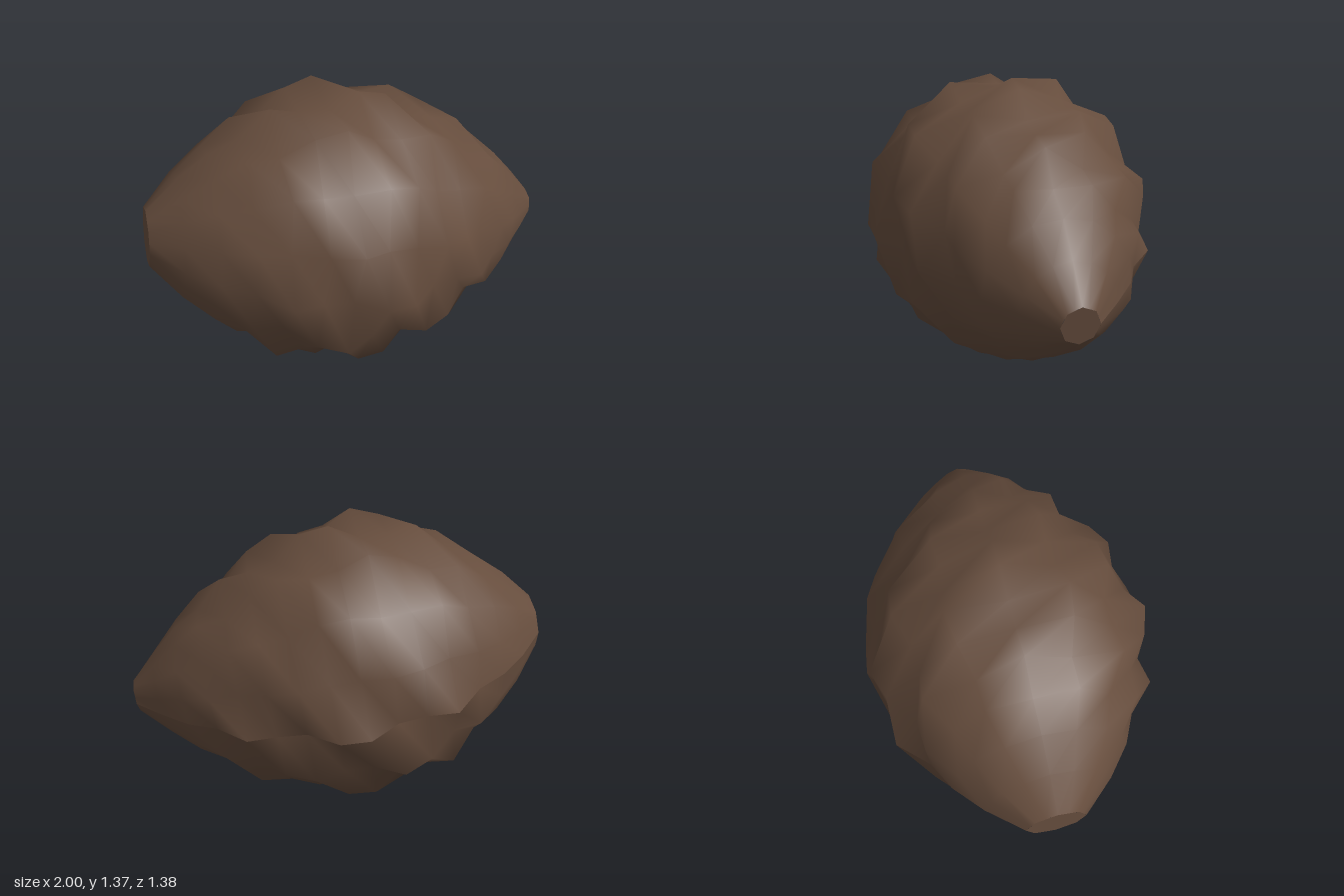
import * as THREE from 'three';

const SIDES = 16;
const HALF = 0.993;
// Radii of the sixteen rings: on the even spokes and on the odd spokes between them.
const EVEN = [0.137, 0.293, 0.41, 0.48, 0.618, 0.6, 0.61, 0.692, 0.677, 0.565, 0.542, 0.533, 0.4, 0.327, 0.211, 0.083];
const ODD = [0.127, 0.277, 0.4, 0.52, 0.532, 0.648, 0.7, 0.632, 0.623, 0.648, 0.588, 0.457, 0.44, 0.333, 0.205, 0.077];

// Spindle along x with staggered bumps; diagonals make them read as twisted ridges.
function ridgedBody() {
  const pos = [], index = [], row = SIDES + 1;
  EVEN.forEach((even, i) => {
    const x = -HALF + (2 * HALF * i) / (EVEN.length - 1);
    for (let k = 0; k <= SIDES; k++) {
      const a = Math.PI + (k * 2 * Math.PI) / SIDES; // seam at the back
      const r = k % 2 ? ODD[i] : even;
      pos.push(x, r * Math.sin(a), r * Math.cos(a));
    }
  });
  for (let i = 0; i < EVEN.length - 1; i++) {
    for (let k = 0; k < SIDES; k++) {
      const a = i * row + k, b = a + row;
      index.push(a, b, a + 1, b, b + 1, a + 1);
    }
  }
  const g = new THREE.BufferGeometry();
  g.setAttribute('position', new THREE.Float32BufferAttribute(pos, 3));
  g.setIndex(index);
  g.computeVertexNormals();
  return g;
}

export function createModel() {
  const brown = new THREE.MeshStandardMaterial({ color: 0x664d3d });
  brown.name = 'earthBrown';
  const group = new THREE.Group();
  group.name = 'ridgedSpindle';

  const body = new THREE.Mesh(ridgedBody(), brown);
  body.name = 'body';
  group.add(body);

  // Flat ends
  for (const side of [-1, 1]) {
    const cap = new THREE.Mesh(new THREE.CircleGeometry(side < 0 ? EVEN[0] : EVEN.at(-1), 8), brown);
    cap.name = side < 0 ? 'wideEnd' : 'narrowEnd';
    cap.rotation.y = (side * Math.PI) / 2;
    cap.position.x = side * HALF;
    group.add(cap);
  }

  // Axis leans down towards the narrow end
  group.rotation.z = -0.1415;
  group.position.y = 0.68;
  const model = new THREE.Group();
  model.name = 'model';
  model.add(group);
  return model;
}
